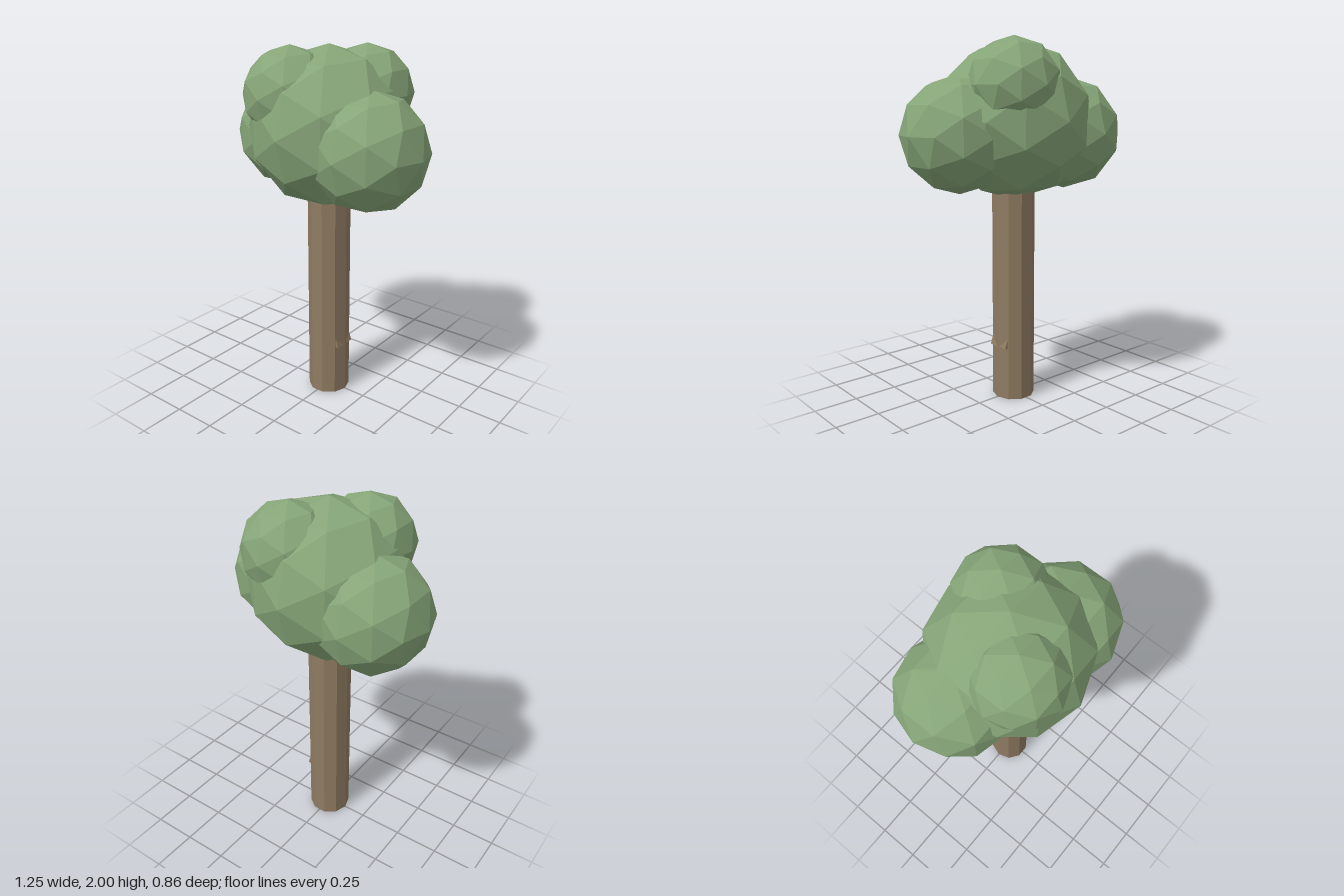
import * as THREE from 'three';

export function createModel() {
  const tree = new THREE.Group();
  tree.name = 'tree';
  const bark = new THREE.MeshStandardMaterial({ name: 'bark brown', color: 0x8f7b62, flatShading: true });
  const leaf = new THREE.MeshStandardMaterial({ name: 'leaf green', color: 0x86a578, flatShading: true });

  const add = (name, geometry, material, x, y, z) => {
    const mesh = new THREE.Mesh(geometry, material);
    mesh.name = name;
    mesh.position.set(x, y, z);
    tree.add(mesh);
    return mesh;
  };

  // Ten-sided trunk with a corner on each side, running up into the crown
  const trunk = new THREE.CylinderGeometry(0.118, 0.118, 1.4, 10);
  trunk.rotateY(Math.PI / 2);
  add('trunk', trunk, bark, 0, 0.7, 0);

  // Slanted bark stub, its outer corners just breaking the left side of the trunk
  const wedge = new THREE.Shape([
    new THREE.Vector2(0.05, 0.3),
    new THREE.Vector2(0.115, 0.3),
    new THREE.Vector2(0.096, 0.357),
  ]);
  const stub = new THREE.ExtrudeGeometry(wedge, { depth: 0.128, bevelEnabled: false });
  add('barkStub', stub, bark, 0, 0, -0.064);

  // Faceted leaf clumps: a large core and two pairs turned half a circle about it
  const clump = (name, radius, x, y, z) =>
    add(name, new THREE.IcosahedronGeometry(radius, 1), leaf, x, y, z);
  clump('crownCore', 0.432, 0, 1.568, 0);
  for (const [side, s] of [['Left', 1], ['Right', -1]]) {
    clump('lowerClump' + side, 0.315, 0.31 * s, 1.495, 0.077 * s);
    clump('upperClump' + side, 0.25, 0.13 * s, 1.75, -0.158 * s);
  }
  return tree;
}
